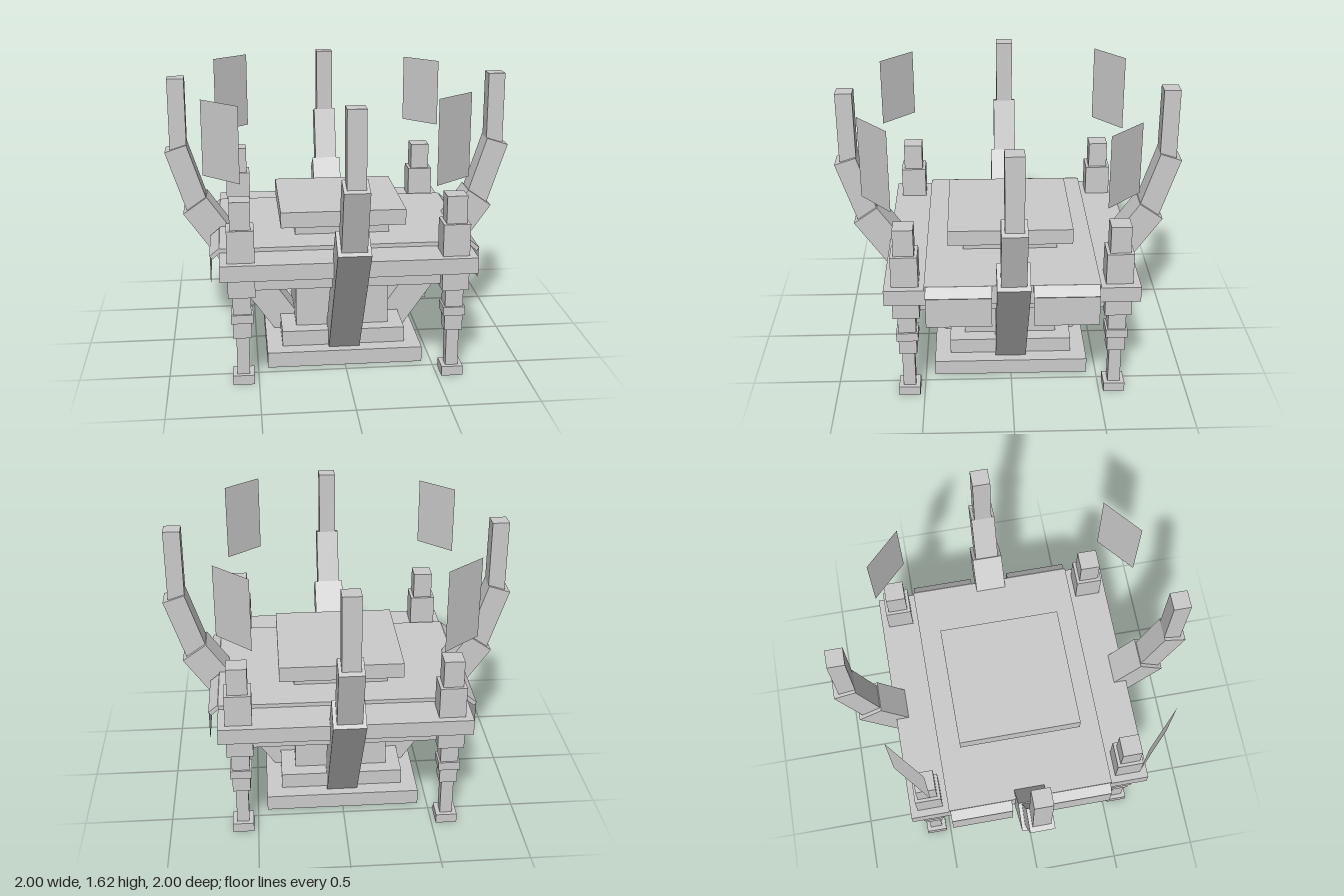
import * as THREE from 'three';

const material = new THREE.MeshStandardMaterial({ color: 0xcccccc, flatShading: true });
const thin = new THREE.MeshStandardMaterial({ color: 0xcccccc, flatShading: true, side: THREE.DoubleSide });

// Box of the given width and depth standing between heights y0 and y1
function block(parent, name, width, y0, y1, depth = width, x = 0, z = 0) {
  const mesh = new THREE.Mesh(new THREE.BoxGeometry(width, y1 - y0, depth), material);
  mesh.name = name;
  mesh.position.set(x, (y0 + y1) / 2, z);
  parent.add(mesh);
  return mesh;
}

// Beam hanging from the centre of its top end, leaning outward by an angle in degrees
function beam(parent, name, topX, topY, width, depth, length, degrees) {
  const geometry = new THREE.BoxGeometry(width, length, depth).translate(0, -length / 2, 0);
  const mesh = new THREE.Mesh(geometry, material);
  mesh.name = name;
  mesh.position.set(topX, topY, 0);
  mesh.rotation.z = -THREE.MathUtils.degToRad(degrees);
  parent.add(mesh);
}

// Upright sheet without thickness, spanning two points on the ground plan
function sheet(parent, name, [xa, za], [xb, zb], y0, y1) {
  const geometry = new THREE.PlaneGeometry(Math.hypot(xb - xa, zb - za), y1 - y0);
  const mesh = new THREE.Mesh(geometry, thin);
  mesh.name = name;
  mesh.position.set((xa + xb) / 2, (y0 + y1) / 2, (za + zb) / 2);
  mesh.rotation.y = Math.atan2(za - zb, xb - xa);
  parent.add(mesh);
}

export function createModel() {
  const model = new THREE.Group();
  model.name = 'platform';

  // Stepped base, column and stacked deck
  block(model, 'base', 0.89, 0, 0.09);
  block(model, 'baseStep', 0.71, 0.09, 0.18);
  block(model, 'column', 0.54, 0.18, 0.54);
  block(model, 'lowerDeck', 1.2, 0.54, 0.63);
  block(model, 'deck', 1.4, 0.63, 0.72);
  block(model, 'deckCover', 1.4, 0.72, 0.743, 0.96);
  block(model, 'topNeck', 0.54, 0.743, 0.81);
  block(model, 'topSlab', 0.71, 0.81, 0.9);

  // Corner posts: width, bottom, top
  const postSteps = [
    ['foot', 0.12, 0, 0.055],
    ['shaft', 0.07, 0.055, 0.275],
    ['collar', 0.1, 0.275, 0.365],
    ['ring', 0.122, 0.365, 0.415],
    ['neck', 0.1, 0.415, 0.52],
    ['socket', 0.148, 0.52, 0.9],
    ['cap', 0.112, 0.9, 1.055],
  ];
  for (const x of [-0.585, 0.585]) {
    for (const z of [-0.585, 0.585]) {
      const post = new THREE.Group();
      post.name = 'cornerPost';
      post.position.set(x, 0, z);
      for (const [name, width, y0, y1] of postSteps) block(post, name, width, y0, y1);
      model.add(post);
    }
  }

  // Four arms bending upward, one on each side
  for (let i = 0; i < 4; i++) {
    const arm = new THREE.Group();
    arm.name = 'arm';
    beam(arm, 'lowerArm', 0.838, 0.875, 0.168, 0.178, 0.96, 35);
    beam(arm, 'middleArm', 0.937, 1.21, 0.13, 0.136, 0.42, 18);
    block(arm, 'upperArm', 0.096, 1.17, 1.61, 0.1, 0.922);
    arm.rotation.y = (i * Math.PI) / 2;
    model.add(arm);
  }

  // Sloped lips with hanging flaps on the left and right edges
  for (const side of [-1, 1]) {
    for (const z of [-0.293, 0.293]) {
      const lip = block(model, 'flapLip', 0.07, 0.7, 0.724, 0.36, side * 0.721, z);
      lip.rotation.z = -side * 0.7;
      sheet(model, 'flap', [side * 0.752, z - 0.18], [side * 0.752, z + 0.18], 0.52, 0.7);
    }
  }

  // Floating panes above the corners
  sheet(model, 'tallPane', [0.435, 0.81], [0.64, 0.64], 1.165, 1.62);
  sheet(model, 'tallPane', [-0.715, -0.56], [-0.51, -0.73], 1.165, 1.62);
  sheet(model, 'shortPane', [-0.77, 0.577], [-0.578, 0.767], 1.19, 1.595);
  sheet(model, 'shortPane', [0.495, -0.69], [0.685, -0.5], 1.19, 1.595);

  return model;
}
